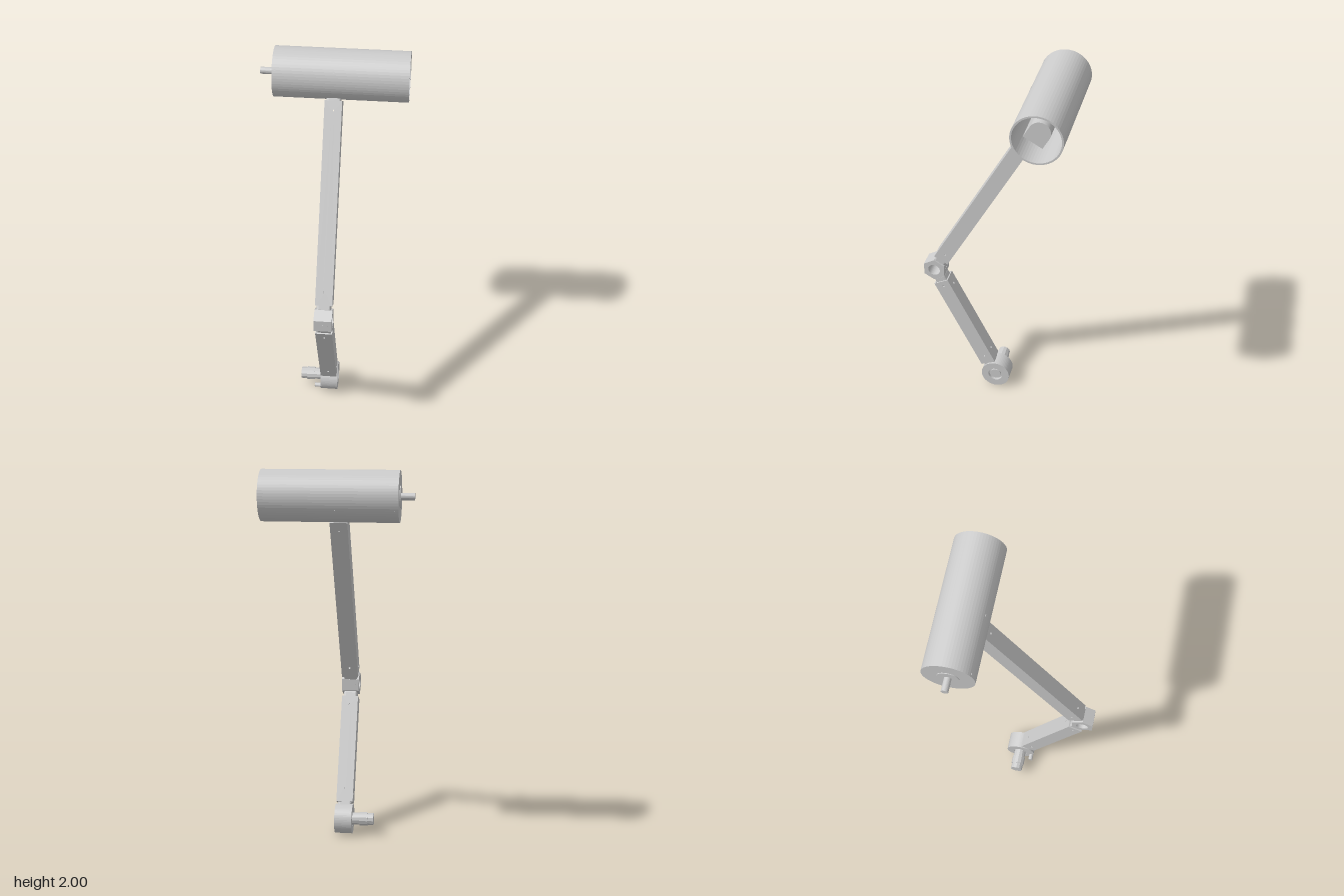
import * as THREE from 'three';
import { RoundedBoxGeometry } from 'three/addons/geometries/RoundedBoxGeometry.js';

const mat = new THREE.MeshStandardMaterial({ color: 0xcccccc, flatShading: true });

function add(parent, name, geo, x = 0, y = 0, z = 0) {
  const m = new THREE.Mesh(geo, mat);
  m.name = name;
  m.position.set(x, y, z);
  parent.add(m);
  return m;
}

function group(parent, name, x, y, z, tilt = 0) {
  const g = new THREE.Group();
  g.name = name;
  g.position.set(x, y, z);
  g.rotation.x = tilt;
  parent.add(g);
  return g;
}

// Cylinder along x from x0 to x1
function rod(parent, name, r, x0, x1, y = 0, z = 0, sides = 32) {
  const geo = new THREE.CylinderGeometry(r, r, x1 - x0, sides).rotateZ(Math.PI / 2);
  return add(parent, name, geo, (x0 + x1) / 2, y, z);
}

// Solid of revolution about x, from [radius, x] points
function turned(parent, name, points) {
  const geo = new THREE.LatheGeometry(points.map(p => new THREE.Vector2(...p)), 56);
  return add(parent, name, geo.rotateZ(-Math.PI / 2));
}

function circleHole(x, y, r) {
  const p = new THREE.Path();
  p.absarc(x, y, r, 0, Math.PI * 2, true);
  return p;
}

function extrude(shape, depth) {
  return new THREE.ExtrudeGeometry(shape, { depth, bevelEnabled: false, curveSegments: 16 });
}

// Square tube along local +y made of four drilled walls, with a joint plug at each end
function arm(parent, name, y, z, tilt, start, length) {
  const g = group(parent, name, 0, y, z, tilt);
  const wx = 0.09, wz = 0.084, wall = 0.007;
  for (let i = 0; i < 4; i++) {
    const side = i % 2 === 1;
    const w = (side ? wz : wx - 0.002) / 2;
    const inset = side ? 0.05 : 0.07;
    const s = new THREE.Shape();
    s.moveTo(-w, start);
    s.lineTo(w, start);
    s.lineTo(w, start + length);
    s.lineTo(-w, start + length);
    s.closePath();
    s.holes.push(circleHole(0, start + inset, 0.006), circleHole(0, start + length - inset + 0.02, 0.006));
    const geo = extrude(s, wall);
    geo.translate(0, 0, (side ? wx : wz) / 2 - wall).rotateY(i * Math.PI / 2);
    add(g, 'armWall', geo);
  }
  for (const end of [start, start + length]) {
    add(g, 'jointPlug', new RoundedBoxGeometry(0.074, 0.066, 0.066, 2, 0.01), 0, end, 0);
  }
  return g;
}

export function createModel() {
  const root = new THREE.Group();
  root.name = 'jointedArm';
  const lowerTilt = 0.464, upperTilt = -0.515;

  // Round base hub with its grooved bore and mounting shaft
  const base = group(root, 'baseHub', 0, 0.08, 0.01);
  turned(base, 'hubRing', [[0.04, -0.047], [0.08, -0.047], [0.08, 0.047], [0.04, 0.047], [0.04, -0.047]]);
  rod(base, 'hubCore', 0.03, -0.05, 0.042);
  rod(base, 'hubFloor', 0.041, -0.046, 0.03);
  rod(base, 'mountingShaft', 0.033, -0.162, -0.04, 0.002, -0.002, 12);
  rod(base, 'shaftCollar', 0.037, -0.13, -0.086, 0.002, -0.002, 12);
  rod(base, 'stopPin', 0.012, -0.08, -0.04, -0.024, 0.066, 16);

  // Two arm tubes
  arm(root, 'lowerArm', 0.08, 0.0145, lowerTilt, 0.086, 0.592);
  arm(root, 'upperArm', 0.764, 0.354, upperTilt, 0.08, 1.055);

  // Hexagonal elbow with a through bore and rows of screw holes on two faces
  const elbow = group(root, 'elbow', 0, 0.764, 0.354);
  const hex = new THREE.Shape();
  for (let i = 0; i < 6; i++) {
    const a = (i + 0.5) * Math.PI / 3;
    hex[i ? 'lineTo' : 'moveTo'](0.065 * Math.cos(a), 0.065 * Math.sin(a));
  }
  hex.closePath();
  hex.holes.push(circleHole(0, 0, 0.033));
  add(elbow, 'hexBlock', extrude(hex, 0.094).translate(0, 0, -0.047).rotateY(Math.PI / 2));
  for (const face of [0, Math.PI]) {
    for (const x of [-0.022, 0, 0.022]) {
      const screw = new THREE.CylinderGeometry(0.006, 0.006, 0.004, 12).rotateX(Math.PI / 2);
      add(elbow, 'elbowScrew', screw.translate(x, 0, 0.0555).rotateY(face));
    }
  }

  // Drum, open on the left end, aligned with the upper arm
  const drum = group(root, 'drum', 0, 1.87, -0.275, upperTilt);
  turned(drum, 'drumShell', [[0, -0.312], [0.13, -0.312], [0.13, 0.382], [0.121, 0.382], [0.121, -0.3], [0, -0.3]]);
  rod(drum, 'endBoss', 0.055, -0.316, -0.305);
  rod(drum, 'endSpindle', 0.018, -0.385, -0.3);
  for (const x of [-0.296, 0]) {
    for (const side of [-1, 1]) {
      const screw = new THREE.CylinderGeometry(0.006, 0.006, 0.004, 12).rotateX(Math.PI / 2);
      add(drum, 'drumScrew', screw, x, 0, side * 0.1295);
    }
  }

  // Arched body inside the drum, flat side towards the arm
  const arch = new THREE.Shape();
  arch.moveTo(-0.055, -0.075);
  arch.lineTo(0.055, -0.075);
  arch.lineTo(0.055, -0.008);
  arch.absarc(0, -0.008, 0.055, 0, Math.PI, false);
  arch.closePath();
  add(drum, 'innerBody', extrude(arch, 0.595).translate(0, 0, -0.3).rotateY(Math.PI / 2));

  // Four tabs on the inside of the end plate
  for (let i = 0; i < 4; i++) {
    const tab = new THREE.BoxGeometry(0.06, 0.012, 0.036).translate(-0.272, 0.097, 0);
    add(drum, 'innerTab', tab.rotateX(0.78 + i * Math.PI / 2));
  }
  return root;
}
